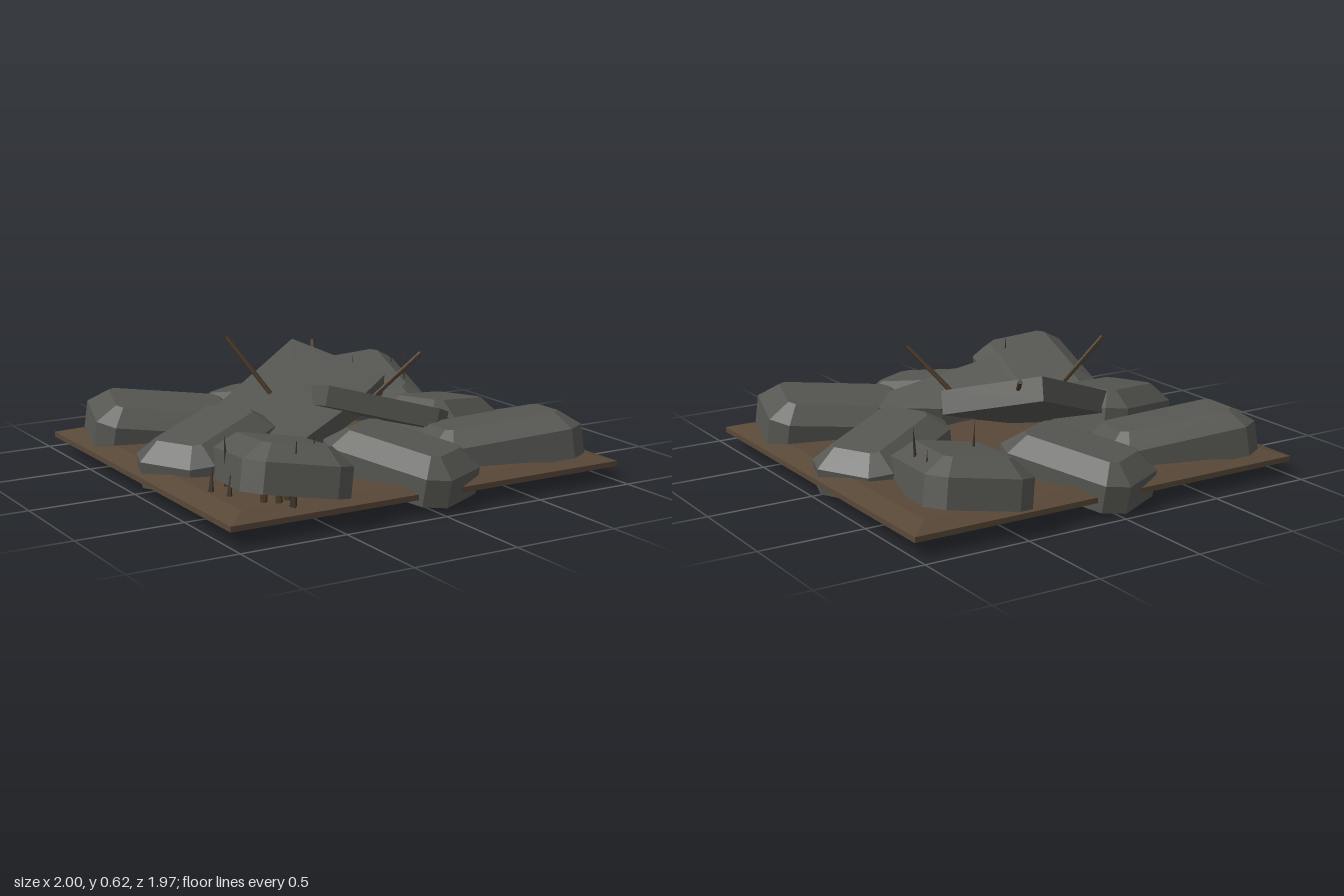
import * as THREE from 'three';
import { ConvexGeometry } from 'three/addons/geometries/ConvexGeometry.js';

const V = (x, y, z) => new THREE.Vector3(x, y, z);
const deg = THREE.MathUtils.degToRad;

// flat-bottomed stone with cut corners, upright walls and a bevelled top
function bevelledStone(hx, hy, hz) {
  const pts = [];
  // height, inset from the outline, corner cut
  for (const [y, inset, cut] of [[-hy, 0, 0.08], [hy - 0.075, 0, 0.08], [hy, 0.09, 0.03]]) {
    for (const sx of [-1, 1]) for (const sz of [-1, 1]) {
      pts.push(V(sx * (hx - inset), y, sz * (hz - inset - cut)),
        V(sx * (hx - inset - cut), y, sz * (hz - inset)));
    }
  }
  return new ConvexGeometry(pts);
}

// tilted plate: top outline plus the same outline pushed down along its normal
function tiltedSlab(top, thickness) {
  const n = V(0, 0, 0).crossVectors(
    top[1].clone().sub(top[0]), top[2].clone().sub(top[0])).normalize();
  if (n.y < 0) n.negate();
  const bottom = top.map(p => p.clone().addScaledVector(n, -thickness));
  return new ConvexGeometry([...top, ...bottom]);
}

export function createModel() {
  const model = new THREE.Group();
  model.name = 'rubblePile';
  const mat = (name, color) => {
    const m = new THREE.MeshStandardMaterial({ color, flatShading: true });
    m.name = name;
    return m;
  };
  const stone = mat('greyStone', 0x555651);
  const earth = mat('brownEarth', 0x584838);
  const wood = mat('darkWood', 0x4a3a29);
  const thorn = mat('thornBrown', 0x3a3024);

  const add = (name, geometry, material, parent = model) => {
    const mesh = new THREE.Mesh(geometry, material);
    mesh.name = name;
    parent.add(mesh);
    return mesh;
  };

  // ground plate with sloping rim
  const rim = [];
  for (const sx of [-1, 1]) for (const sz of [-1, 1]) {
    rim.push(V(sx, 0.082, sz * 0.92), V(sx, 0.107, sz * 0.92), V(sx * 0.9, 0.135, sz * 0.83));
  }
  add('groundPlate', new ConvexGeometry(rim), earth);

  // eight boulders: a corner one and a middle one on each of four sides
  const cornerGeo = bevelledStone(0.365, 0.105, 0.24);
  const middleGeo = bevelledStone(0.325, 0.1, 0.215);
  const sides = [ // front, right, back, left
    { cornerY: 0.19, tilt: 6, roll: -6, middleY: 0.175 },
    { cornerY: 0.205, tilt: 9, roll: -7, middleY: 0.175 },
    { cornerY: 0.18, tilt: 7, roll: -6, middleY: 0.195 },
    { cornerY: 0.23, tilt: 9, roll: -8, middleY: 0.19 },
  ];
  sides.forEach(({ cornerY, tilt, roll, middleY }, k) => {
    const side = new THREE.Group();
    side.name = 'boulderPair' + (k + 1);
    side.rotation.y = k * Math.PI / 2;
    model.add(side);
    const corner = add('cornerBoulder', cornerGeo, stone, side);
    corner.position.set(0.567, cornerY, 0.567);
    corner.rotation.set(deg(roll), deg(-15), deg(tilt), 'YZX');
    const middle = add('middleBoulder', middleGeo, stone, side);
    middle.position.set(0.635, middleY, 0);
    middle.rotation.set(0, deg(28), deg(-9), 'YZX');
  });

  // two broken slabs leaning in the middle
  add('largeSlab', tiltedSlab([
    V(0.075, 0.54, -0.46), V(0.335, 0.41, -0.02), V(-0.5, 0.32, -0.18),
    V(0.15, 0.34, 0.07), V(-0.37, 0.175, 0.25),
  ], 0.112), stone);
  add('smallSlab', tiltedSlab([
    V(-0.13, 0.46, 0.24), V(0.38, 0.32, 0.385), V(-0.02, 0.385, -0.11),
    V(0.49, 0.275, 0.3), V(0.3, 0.3, 0.05),
  ], 0.095), stone);

  // rods sticking out of the slabs
  const rods = [
    [V(-0.385, 0.625, -0.28), V(-0.225, 0.36, -0.14)],
    [V(0.355, 0.565, 0.26), V(0.18, 0.33, 0.1)],
    [V(0.178, 0.525, -0.44), V(0.12, 0.44, -0.33)],
  ];
  for (const [a, b] of rods) {
    const dir = a.clone().sub(b);
    const rod = add('rod', new THREE.CylinderGeometry(0.011, 0.011, dir.length(), 6), wood);
    rod.position.copy(a).add(b).multiplyScalar(0.5);
    rod.quaternion.setFromUnitVectors(V(0, 1, 0), dir.normalize());
  }

  // thin thorns growing through two opposite corners: x, z, tip height
  const thorns = [
    [-0.875, 0.51, 0.25], [-0.78, 0.465, 0.37], [-0.84, 0.61, 0.24],
    [-0.487, 0.72, 0.4], [-0.665, 0.855, 0.42],
    [0.455, -0.49, 0.41], [0.74, -0.48, 0.42], [0.79, -0.655, 0.38], [0.68, -0.375, 0.38],
  ];
  thorns.forEach(([x, z, tip], i) => {
    const h = tip - 0.09;
    const spike = add('thorn', new THREE.ConeGeometry(0.02, h, 4), thorn);
    spike.position.set(x, 0.09 + h / 2, z);
    spike.rotation.z = (i % 2 ? 1 : -1) * 0.06;
  });

  // short stakes under the two thorny corners
  for (const s of [-1, 1]) for (const [x, z] of [[0.76, 0.76], [0.71, 0.8], [0.66, 0.78]]) {
    const stake = add('stake', new THREE.CylinderGeometry(0.012, 0.018, 0.12, 5), wood);
    stake.position.set(s * x, 0.17, -s * z);
  }
  return model;
}
